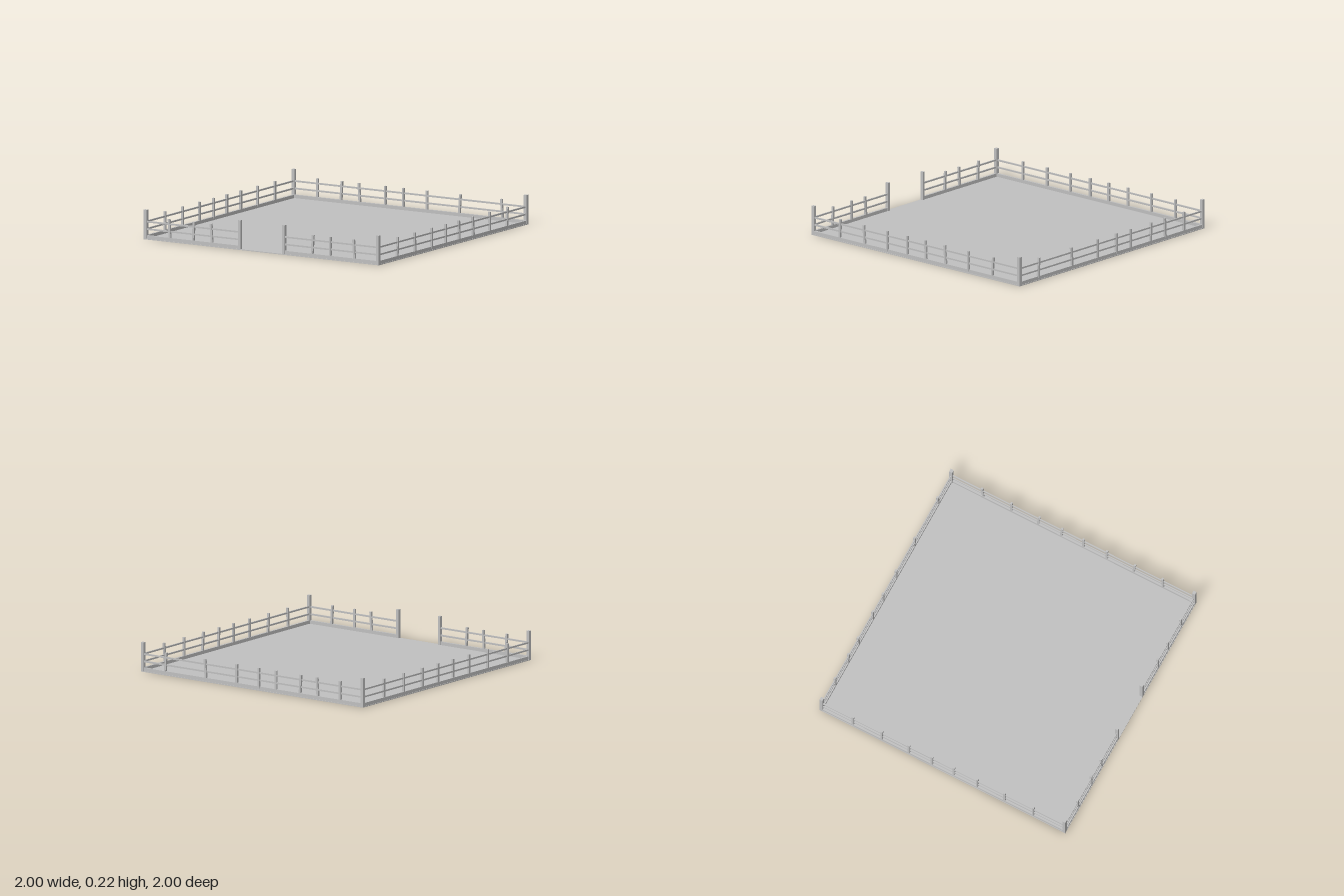
import * as THREE from 'three';

const H = 0.988;      // distance of each fence line from the centre
const GATE = 0.188;   // half spacing of the gate posts

export function createModel() {
  const group = new THREE.Group();
  const grey = new THREE.MeshStandardMaterial({ color: 0xc0c0c0 });
  grey.name = 'light grey';

  const box = (parent, name, w, h, d, x, y, z) => {
    const mesh = new THREE.Mesh(new THREE.BoxGeometry(w, h, d), grey);
    mesh.name = name;
    mesh.position.set(x, y, z);
    parent.add(mesh);
    return mesh;
  };

  // Thin ground slab
  box(group, 'floor', 2, 0.006, 2, 0, 0.003, 0);

  // Tall posts at the corners and beside the gate
  for (const x of [-H, H]) for (const z of [-H, H]) {
    box(group, 'cornerPost', 0.024, 0.216, 0.024, x, 0.108, z);
  }
  for (const x of [-GATE, GATE]) box(group, 'gatePost', 0.02, 0.216, 0.024, x, 0.108, H);

  // A straight run along local x: kerb, two rails and slightly leaning posts [position, lean]
  const fence = (name, from, to, posts) => {
    const run = new THREE.Group();
    run.name = name;
    const len = to - from, mid = (from + to) / 2;
    box(run, 'kerb', len, 0.03, 0.016, mid, 0.015, 0);
    for (const y of [0.075, 0.129]) box(run, 'rail', len, 0.012, 0.009, mid, y, 0);
    for (const [p, lean] of posts) {
      const post = box(run, 'smallPost', 0.016, 0.15, 0.016, p, 0.091, -0.001);
      post.rotation.z = -lean;
    }
    group.add(run);
    return run;
  };

  // Front fence in two runs, leaving the gateway open
  fence('frontFenceRight', -H, -GATE, [[-0.787, -0.06], [-0.583, 0.05], [-0.43, -0.06]]).position.z = H;
  fence('frontFenceLeft', GATE, H, [[0.43, 0.06], [0.58, 0], [0.783, -0.06]]).position.z = H;

  // Back fence
  fence('backFence', -H, H, [[-0.787, 0], [-0.583, 0.05], [-0.43, -0.06], [-0.21, 0],
    [-0.056, 0], [0.145, 0], [0.425, 0.06], [0.783, -0.06]]).position.z = -H;

  // Side fences, with local x turned to point along +z
  const spots = [-0.733, -0.5, -0.277, -0.09, 0.087, 0.277, 0.5, 0.733];
  const leans = [-0.08, 0, 0.08, 0.05, 0, 0, 0.07, -0.05];
  for (const side of [-1, 1]) {
    const run = fence(side > 0 ? 'leftFence' : 'rightFence', -H, H,
      spots.map((p, i) => [p, side > 0 ? leans[i] : 0]));
    run.rotation.y = -Math.PI / 2;
    run.position.x = side * H;
  }
  return group;
}
